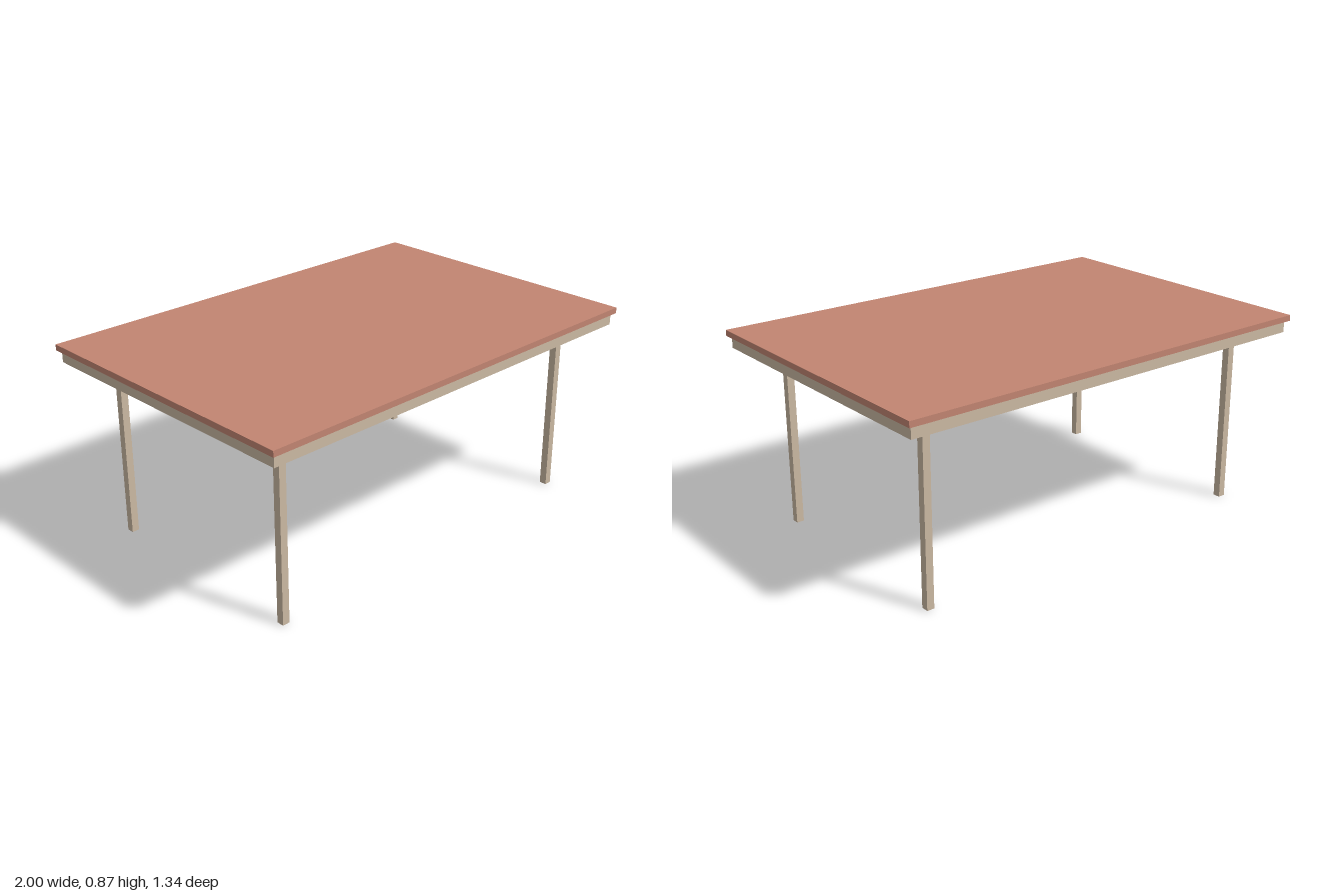
import * as THREE from 'three';

export function createModel() {
  const table = new THREE.Group();
  table.name = 'table';
  const red = new THREE.MeshStandardMaterial({ color: 0xc28572 });
  const tan = new THREE.MeshStandardMaterial({ color: 0xcbb9a3 });

  // Box standing on height y
  const box = (name, w, h, d, x, y, z, material) => {
    const mesh = new THREE.Mesh(new THREE.BoxGeometry(w, h, d), material);
    mesh.name = name;
    mesh.position.set(x, y + h / 2, z);
    table.add(mesh);
  };

  // Top board and the slightly smaller slab beneath it
  box('tabletop', 2, 0.026, 1.344, 0, 0.842, 0, red);
  box('apron', 1.967, 0.052, 1.311, 0, 0.79, 0, tan);

  // Four square legs, set in from the corners
  for (const [side, sx] of [['Left', 1], ['Right', -1]]) {
    for (const [end, sz] of [['front', 1], ['back', -1]]) {
      box(`${end}${side}Leg`, 0.033, 0.79, 0.033, sx * 0.819, 0, sz * 0.492, tan);
    }
  }
  return table;
}
